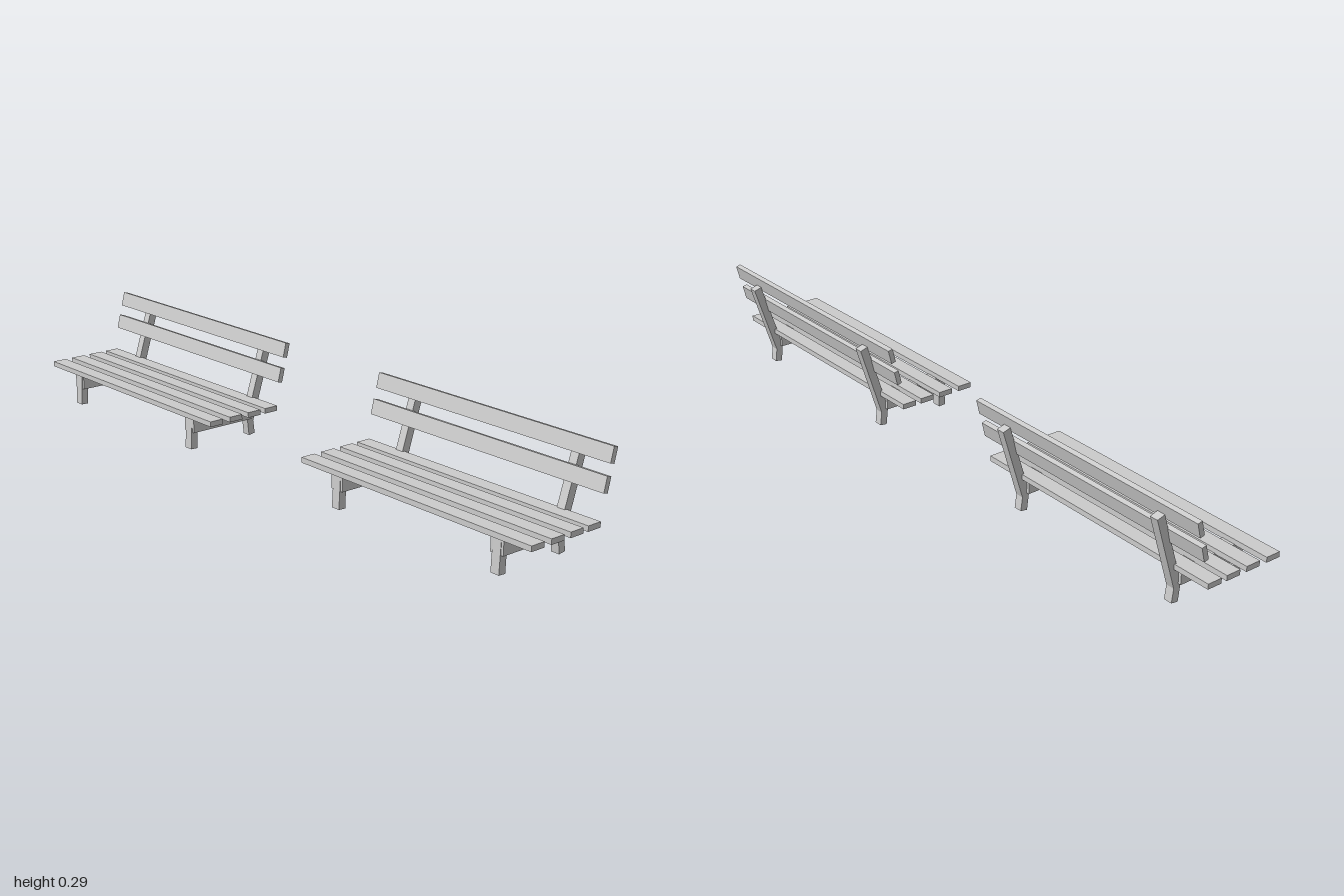
import * as THREE from 'three';

const material = new THREE.MeshStandardMaterial({ color: 0xcccccc, flatShading: true });

// Extrudes an outline in the x-y plane along z, centred on zCentre
function prism(name, points, width, zCentre = 0) {
  const shape = new THREE.Shape(points.map(([x, y]) => new THREE.Vector2(x, y)));
  const geometry = new THREE.ExtrudeGeometry(shape, { depth: width, bevelEnabled: false });
  geometry.translate(0, 0, zCentre - width / 2);
  const mesh = new THREE.Mesh(geometry, material);
  mesh.name = name;
  return mesh;
}

const LENGTH = 0.805;

// Raked back post that continues down into the rear leg
const postOutline = [
  [0.067, 0], [0.088, 0.003], [0.083, 0.042], [0.149, 0.251],
  [0.126, 0.258], [0.079, 0.11], [0.061, 0.051],
];
const frontLegOutline = [
  [-0.143, 0.002], [-0.121, 0.001], [-0.119, 0.051], [-0.119, 0.097], [-0.138, 0.097],
];
const beamOutline = [[-0.138, 0.051], [0.069, 0.051], [0.069, 0.098], [-0.138, 0.098]];

function createSupport(z) {
  const support = new THREE.Group();
  support.name = 'support';
  support.add(
    prism('backPost', postOutline, 0.025),
    prism('frontLeg', frontLegOutline, 0.027),
    prism('seatBeam', beamOutline, 0.042),
  );
  support.position.z = z;
  return support;
}

function createBench() {
  const bench = new THREE.Group();
  bench.name = 'bench';

  // Seat slats
  for (const x of [-0.13, -0.0625, 0.003, 0.064]) {
    const slat = new THREE.Mesh(new THREE.BoxGeometry(0.044, 0.015, LENGTH), material);
    slat.position.set(x, 0.1035, 0);
    slat.name = 'seatSlat';
    bench.add(slat);
  }

  // Tilted backrest slats
  for (const [x, y] of [[0.1025, 0.198], [0.121, 0.268]]) {
    const slat = new THREE.Mesh(new THREE.BoxGeometry(0.0145, 0.042, LENGTH), material);
    slat.position.set(x, y, 0);
    slat.rotation.z = -0.245;
    slat.name = 'backSlat';
    bench.add(slat);
  }

  // Two supports, set slightly off centre
  for (const z of [0.284, -0.278]) bench.add(createSupport(z));
  return bench;
}

export function createModel() {
  const model = new THREE.Group();
  model.name = 'benchPair';
  for (const z of [0.5975, -0.5975]) {
    const bench = createBench();
    bench.position.z = z;
    model.add(bench);
  }
  return model;
}
